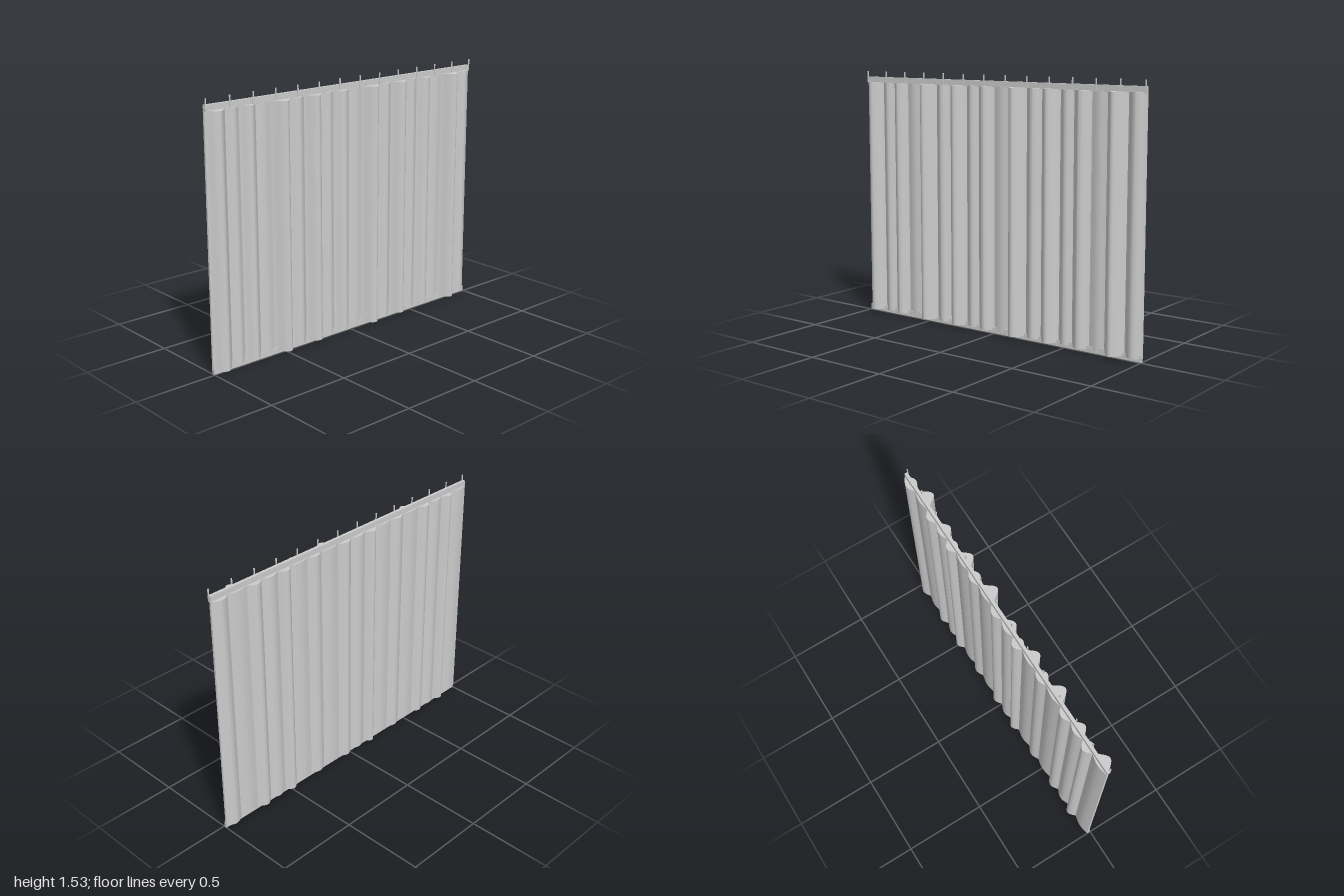
import * as THREE from 'three';
import { toCreasedNormals } from 'three/addons/utils/BufferGeometryUtils.js';

const material = new THREE.MeshStandardMaterial({ color: 0xcccccc });

// Pleat seams along x, and how far each pleat reaches to front and back
const seams = [-1, -0.87, -0.78, -0.67, -0.57, -0.44, -0.335, -0.21, -0.12, -0.005,
  0.095, 0.225, 0.33, 0.455, 0.545, 0.66, 0.76, 0.89, 1];
const frontPeaks = [0.042, 0.01, 0.03, -0.002, 0.055, 0.018, 0.044, 0.01, 0.03, -0.002,
  0.055, 0.018, 0.044, 0.01, 0.03, -0.002, 0.055, 0.018];
const backPeaks = [-0.035, -0.056, -0.042, -0.051, -0.035, -0.045, -0.035, -0.056, -0.043, -0.051,
  -0.035, -0.045, -0.035, -0.056, -0.043, -0.053, -0.035, -0.049];
const FRONT_BASE = -0.012, BACK_BASE = -0.024;
const CLOTH_BOTTOM = 0.018, CLOTH_TOP = 1.465;

function box(name, w, h, d, x, y, z) {
  const mesh = new THREE.Mesh(new THREE.BoxGeometry(w, h, d), material);
  mesh.name = name;
  mesh.position.set(x, y, z);
  return mesh;
}

// One closed fold: a rounded front wave and a shallower back wave, extruded upward
function makePleat(x0, x1, front, back) {
  const steps = 16, points = [];
  for (let i = 0; i <= steps; i++) {
    const t = i / steps;
    const wave = Math.pow(Math.max(0, Math.sin(Math.PI * t)), 1.35);
    points.push(new THREE.Vector2(x0 + (x1 - x0) * t, -(FRONT_BASE + (front - FRONT_BASE) * wave)));
  }
  for (let i = steps; i >= 0; i--) {
    const t = i / steps;
    const wave = Math.pow(Math.max(0, Math.sin(Math.PI * t)), 1.15);
    points.push(new THREE.Vector2(x0 + (x1 - x0) * t, -(BACK_BASE + (back - BACK_BASE) * wave)));
  }
  const geometry = new THREE.ExtrudeGeometry(new THREE.Shape(points), {
    depth: CLOTH_TOP - CLOTH_BOTTOM, bevelEnabled: false,
  });
  geometry.rotateX(-Math.PI / 2).translate(0, CLOTH_BOTTOM, 0);
  const mesh = new THREE.Mesh(toCreasedNormals(geometry, 0.6), material);
  mesh.name = 'pleat';
  return mesh;
}

export function createModel() {
  const curtain = new THREE.Group();
  curtain.name = 'curtain';

  // Pleated cloth
  const cloth = new THREE.Group();
  cloth.name = 'pleatedCloth';
  frontPeaks.forEach((front, i) => cloth.add(makePleat(seams[i], seams[i + 1], front, backPeaks[i])));
  curtain.add(cloth);

  // Heading tape along the top and hem along the bottom
  curtain.add(box('headingTape', 2, 0.037, 0.018, 0, 1.4785, -0.014));
  curtain.add(box('hem', 2, 0.036, 0.016, 0, 0.018, -0.012));

  // Row of thin hooks
  const hooks = new THREE.Group();
  hooks.name = 'hooks';
  const count = 14;
  for (let i = 0; i < count; i++) {
    const x = -0.996 + (1.992 * i) / (count - 1);
    hooks.add(box('hook', 0.007, 0.07, 0.005, x, 1.497, -0.004));
  }
  curtain.add(hooks);
  return curtain;
}
